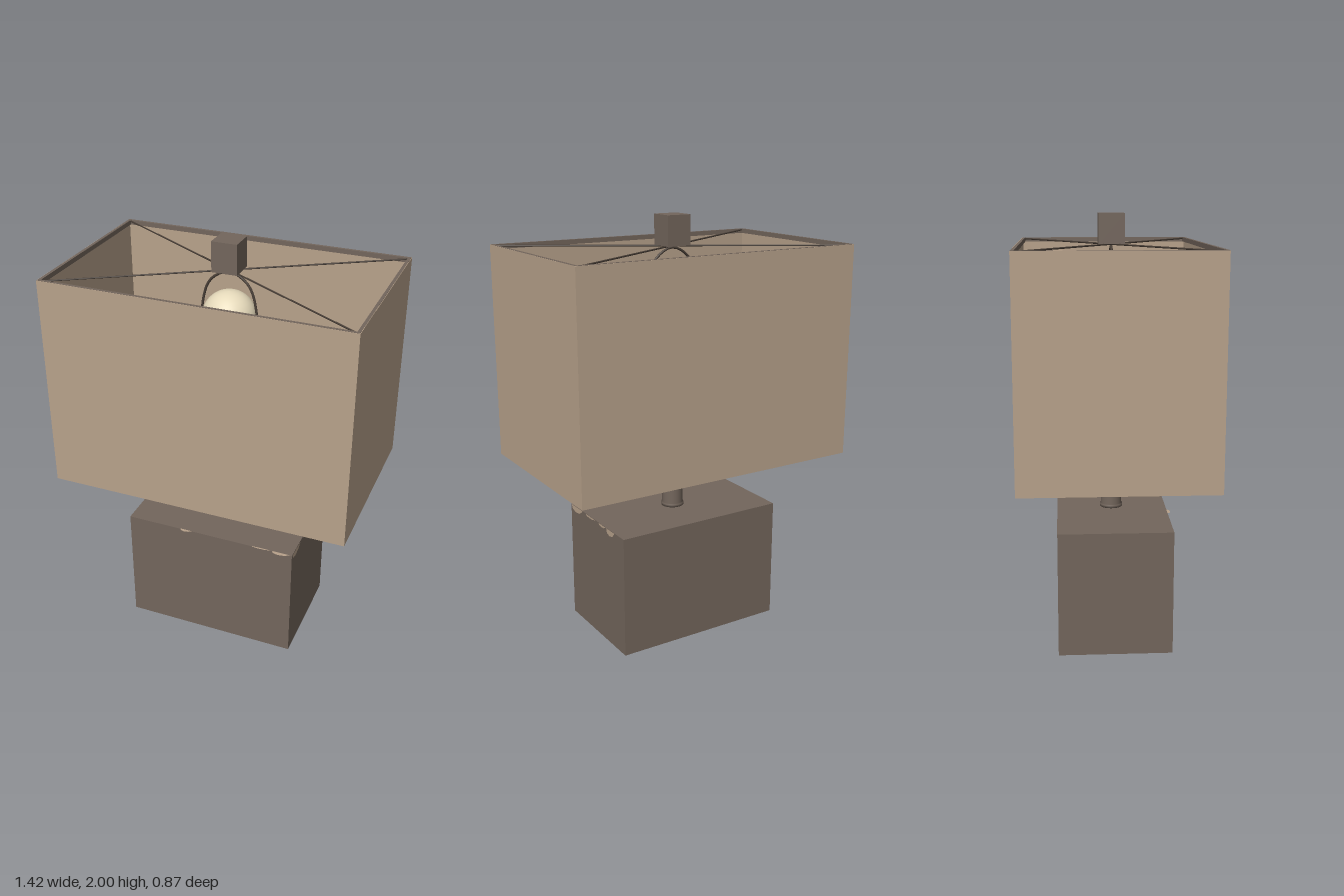
import * as THREE from 'three';

export function createModel() {
  const model = new THREE.Group();
  const brown = new THREE.MeshStandardMaterial({ name: 'dark wood brown', color: 0x73665c });
  const linen = new THREE.MeshStandardMaterial({ name: 'linen beige', color: 0xb8a28b, side: THREE.DoubleSide });
  const glass = new THREE.MeshStandardMaterial({ name: 'warm bulb glass', color: 0xe6dabb });
  const wire = new THREE.MeshStandardMaterial({ name: 'dark wire', color: 0x4a4038 });

  const add = (name, geometry, material, x = 0, y = 0, z = 0) => {
    const mesh = new THREE.Mesh(geometry, material);
    mesh.name = name;
    mesh.position.set(x, y, z);
    model.add(mesh);
    return mesh;
  };
  const lathe = (points) => new THREE.LatheGeometry(points.map(([r, y]) => new THREE.Vector2(r, y)), 40);

  // Upright rectangular tube, open at both ends
  const frame = (w, d, wall, height) => {
    const rect = (path, a, b) => path.moveTo(-a, -b).lineTo(a, -b).lineTo(a, b).lineTo(-a, b).closePath();
    const shape = rect(new THREE.Shape(), w / 2, d / 2);
    shape.holes.push(rect(new THREE.Path(), w / 2 - wall, d / 2 - wall));
    const g = new THREE.ExtrudeGeometry(shape, { depth: height, bevelEnabled: false });
    return g.rotateX(-Math.PI / 2);
  };

  // Block base with worn spots along the upper edges
  add('base', new THREE.BoxGeometry(0.85, 0.59, 0.53), brown, 0, 0.295, 0);
  const chip = (length, depth) => {
    const s = new THREE.Shape();
    s.moveTo(-length / 2, 0).lineTo(-length * 0.4, -depth * 0.7).lineTo(-length * 0.1, -depth);
    s.lineTo(length * 0.25, -depth * 0.75).lineTo(length / 2, 0).closePath();
    return new THREE.ShapeGeometry(s);
  };
  for (const [z, length, depth] of [[0.2, 0.12, 0.03], [0.06, 0.1, 0.01], [-0.06, 0.07, 0.012], [-0.14, 0.08, 0.03]]) {
    add('sideWornSpot', chip(length, depth), linen, 0.4265, 0.589, z).rotation.y = Math.PI / 2;
  }
  for (const [x, length, depth] of [[-0.12, 0.06, 0.016], [0.27, 0.1, 0.008], [0.37, 0.09, 0.02]]) {
    add('topWornSpot', chip(length, depth).rotateX(Math.PI / 2), linen, x, 0.5915, 0.264).scale.z = -1;
  }

  // Pole, collar and bulb socket
  add('stem', lathe([[0, 0.59], [0.055, 0.59], [0.055, 0.603], [0.05, 0.607], [0.05, 1.03]]), brown);
  add('collar', lathe([[0.048, 1.02], [0.054, 1.025], [0.054, 1.04], [0.048, 1.045]]), brown);
  add('socket', lathe([[0.045, 1.04], [0.068, 1.055], [0.08, 1.085], [0.08, 1.12], [0.07, 1.135],
    [0.07, 1.3], [0.062, 1.32], [0, 1.32]]), brown);

  // Light bulb
  const bulb = [[0.05, 1.31], [0.052, 1.38], [0.075, 1.46], [0.105, 1.54]];
  for (let i = 0; i <= 12; i++) {
    const a = -0.5 + (i / 12) * (Math.PI / 2 + 0.5);
    bulb.push([Math.max(0, 0.125 * Math.cos(a)), 1.635 + 0.125 * Math.sin(a)]);
  }
  add('bulb', lathe(bulb), glass);

  // Wire harp around the bulb
  const harp = new THREE.CatmullRomCurve3([[-0.07, 1.12], [-0.11, 1.25], [-0.13, 1.5], [-0.13, 1.68], [-0.09, 1.8], [0, 1.85],
    [0.09, 1.8], [0.13, 1.68], [0.13, 1.5], [0.11, 1.25], [0.07, 1.12]].map(([x, y]) => new THREE.Vector3(x, y, 0)));
  add('harp', new THREE.TubeGeometry(harp, 64, 0.006, 8), wire);

  // Shade with a dark inner rim and four corner wires
  add('shade', frame(1.425, 0.872, 0.006, 1.01), linen, 0, 0.853, 0);
  add('shadeRim', frame(1.421, 0.868, 0.014, 0.022), brown, 0, 1.842, 0);
  for (const sx of [-1, 1]) for (const sz of [-1, 1]) {
    const spoke = new THREE.LineCurve3(new THREE.Vector3(0, 1.858, 0), new THREE.Vector3(sx * 0.7, 1.858, sz * 0.425));
    add('shadeSpoke', new THREE.TubeGeometry(spoke, 1, 0.004, 6), wire);
  }

  // Square finial
  add('finial', new THREE.BoxGeometry(0.12, 0.14, 0.12), brown, 0, 1.93, 0);
  return model;
}
